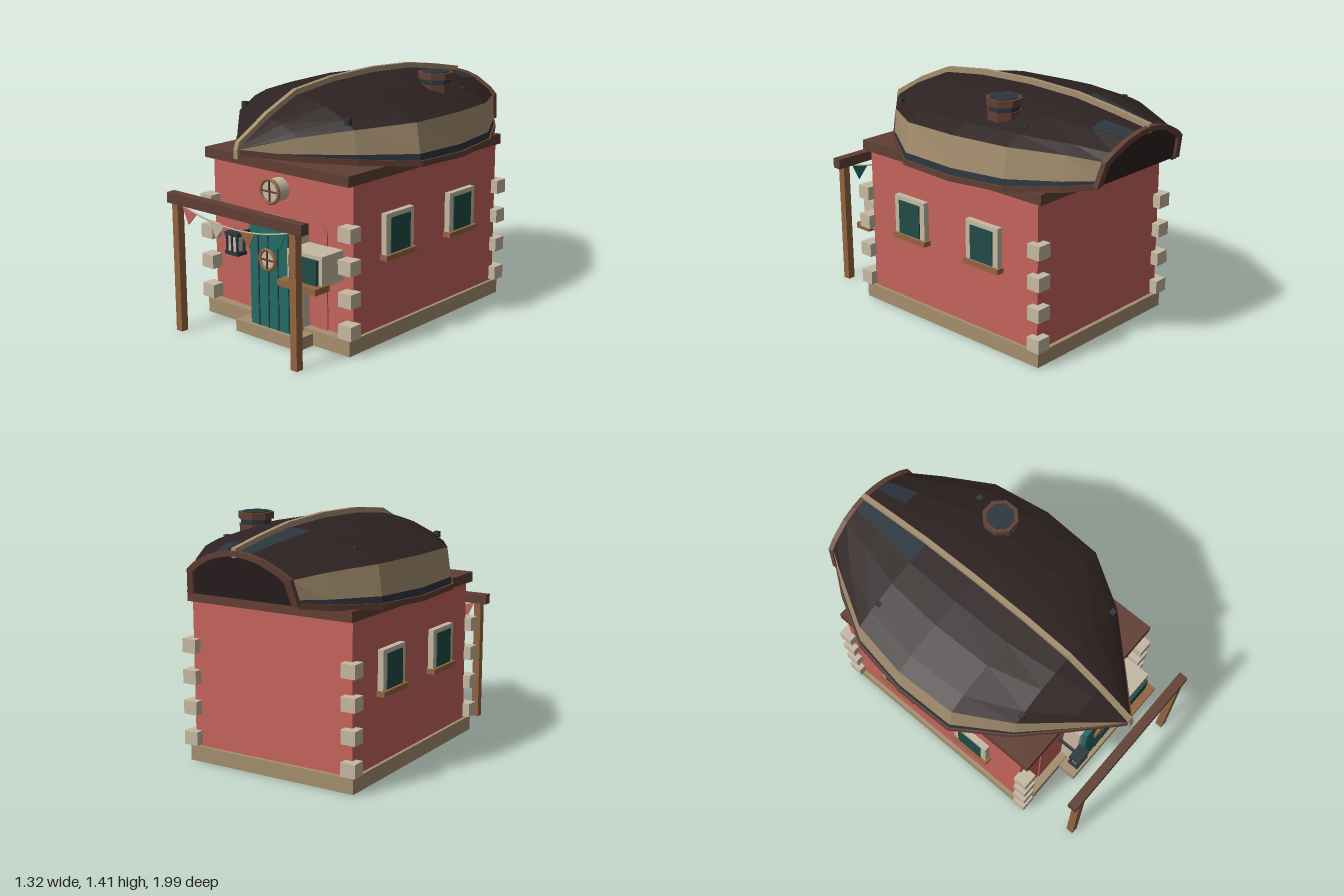
import * as THREE from 'three';

const mat = (name, color, side = THREE.FrontSide) => {
  const m = new THREE.MeshStandardMaterial({ color, side });
  m.name = name;
  return m;
};

export function createModel() {
  const wall = mat('plaster red', 0xc4645c), darkWood = mat('dark wood', 0x613f34);
  const brown = mat('brown wood', 0x926440), tan = mat('tan', 0xa48e6e);
  const cream = mat('cream stone', 0xc5b9a2), teal = mat('teal paint', 0x226b67);
  const glass = mat('window glass', 0x214b46), tar = mat('tarred plank', 0x2d2221);
  const slate = mat('slate', 0x2c353d);

  const model = new THREE.Group();
  const add = (name, geo, material, parent = model) => {
    const m = new THREE.Mesh(geo, material);
    m.name = name;
    parent.add(m);
    return m;
  };
  // box given by its limits on each axis
  const box = (name, material, x0, x1, y0, y1, z0, z1, parent) => {
    const m = add(name, new THREE.BoxGeometry(x1 - x0, y1 - y0, z1 - z0), material, parent);
    m.position.set((x0 + x1) / 2, (y0 + y1) / 2, (z0 + z1) / 2);
    return m;
  };
  // flat-shaded skin over rows of points
  const skin = (rows) => {
    const v = [];
    for (let i = 0; i < rows.length - 1; i++) {
      for (let j = 0; j < rows[i].length - 1; j++) {
        const a = rows[i][j], b = rows[i][j + 1], c = rows[i + 1][j + 1], d = rows[i + 1][j];
        v.push(...a, ...b, ...c, ...a, ...c, ...d);
      }
    }
    const g = new THREE.BufferGeometry();
    g.setAttribute('position', new THREE.Float32BufferAttribute(v, 3));
    g.computeVertexNormals();
    return g;
  };
  // closed bar through four-cornered loops, capped at both ends
  const bar = (loops) => {
    const cap = (l) => Array(5).fill([0, 1, 2].map((k) => l.reduce((s, p) => s + p[k], 0) / l.length));
    const rows = loops.map((l) => [...l, l[0]]);
    return skin([cap(loops[0]), ...rows, cap(loops[loops.length - 1])]);
  };

  // house body
  box('walls', wall, -0.525, 0.525, 0, 0.94, -0.68, 0.62);
  box('plinth', tan, -0.545, 0.545, 0.002, 0.09, -0.705, 0.675);
  box('doorstep', tan, -0.2, 0.28, 0, 0.07, 0.6, 0.79);
  box('eavesBeam', darkWood, -0.54, 0.54, 0.935, 0.995, -0.71, 0.675);
  const arch = new THREE.Shape();
  arch.moveTo(-0.345, 0.09);
  arch.lineTo(0.345, 0.09);
  arch.lineTo(0.345, 0.64);
  arch.quadraticCurveTo(0.28, 0.77, 0, 0.77);
  arch.quadraticCurveTo(-0.28, 0.77, -0.345, 0.64);
  add('archPanel', new THREE.ExtrudeGeometry(arch, { depth: 0.008, bevelEnabled: false }), wall).position.z = 0.62;

  // corner stones
  for (const x of [-0.525, 0.525]) for (const z of [0.652, -0.687]) {
    for (const y of [0.14, 0.32, 0.5, 0.68]) {
      box('cornerStone', cream, x - 0.045, x + 0.045, y - 0.04, y + 0.04, z - 0.042, z + 0.042);
    }
  }

  // side windows
  for (const s of [-1, 1]) for (const z of [0.268, -0.302]) {
    const span = (name, m, out, y0, y1, w) =>
      box(name, m, Math.min(s * 0.5, s * out), Math.max(s * 0.5, s * out), y0, y1, z - w, z + w);
    span('sideWindowFrame', cream, 0.56, 0.5, 0.735, 0.12);
    span('sideWindowPane', glass, 0.566, 0.51, 0.71, 0.083);
    span('sideWindowSill', brown, 0.575, 0.475, 0.505, 0.132);
  }

  // front window
  box('frontWindowFrame', cream, 0.205, 0.455, 0.4, 0.57, 0.62, 0.79);
  box('frontWindowPane', glass, 0.235, 0.43, 0.405, 0.547, 0.78, 0.81);
  box('frontWindowSill', brown, 0.19, 0.465, 0.375, 0.41, 0.745, 0.855);

  // door
  box('doorFrame', cream, -0.13, 0.215, 0.07, 0.675, 0.62, 0.735);
  box('door', teal, -0.1, 0.185, 0.07, 0.66, 0.73, 0.765);
  for (const x of [-0.035, 0.04, 0.112]) box('doorGroove', slate, x - 0.004, x + 0.004, 0.07, 0.61, 0.76, 0.768);

  // round windows with cross bars
  const porthole = (name, x, y, z, r, depth) => {
    const g = new THREE.Group();
    g.name = name;
    g.position.set(x, y, z);
    model.add(g);
    const disc = add('pane', new THREE.CylinderGeometry(r - 0.01, r - 0.01, depth, 16), cream, g);
    disc.rotation.x = Math.PI / 2;
    disc.position.z = -depth / 2;
    add('ring', new THREE.TorusGeometry(r - 0.009, 0.01, 6, 16), brown, g);
    box('crossBar', darkWood, -r + 0.01, r - 0.01, -0.004, 0.004, -0.005, 0.008, g);
    box('crossBar', darkWood, -0.004, 0.004, -r + 0.01, r - 0.01, -0.005, 0.008, g);
  };
  porthole('doorWindow', 0.04, 0.465, 0.772, 0.066, 0.02);
  porthole('gableWindow', 0, 0.83, 0.705, 0.076, 0.085);

  // wall lantern
  box('lanternBracket', slate, -0.2, -0.185, 0.555, 0.575, 0.62, 0.77);
  box('lanternGlass', cream, -0.225, -0.16, 0.47, 0.57, 0.765, 0.81);
  for (const y of [0.455, 0.565]) box('lanternCap', slate, -0.242, -0.143, y, y + 0.02, 0.75, 0.82);
  for (const x of [-0.232, -0.193, -0.153]) for (const z of [0.76, 0.812]) {
    box('lanternBar', slate, x - 0.006, x + 0.006, 0.46, 0.58, z - 0.005, z + 0.005);
  }

  // gateway with bunting
  for (const s of [-1, 1]) box('gatePost', brown, s * 0.4425 - 0.0225, s * 0.4425 + 0.0225, 0, 0.745, 0.955, 1.0);
  box('gateLintel', darkWood, -0.505, 0.505, 0.74, 0.8, 0.945, 1.0);
  const sag = (x) => 0.675 + 0.36 * x * x;
  const rope = new THREE.CatmullRomCurve3(
    [-0.42, -0.28, -0.14, 0, 0.14, 0.28, 0.42].map((x) => new THREE.Vector3(x, sag(x), 0.975)));
  add('buntingRope', new THREE.TubeGeometry(rope, 16, 0.005, 5), cream);
  [[-0.35, wall], [-0.135, cream], [0.095, brown], [0.32, teal]].forEach(([x, m]) => {
    const f = new THREE.Shape([
      new THREE.Vector2(x - 0.058, sag(x - 0.058)), new THREE.Vector2(x + Math.sign(x) * 0.01, sag(x) - 0.085),
      new THREE.Vector2(x + 0.058, sag(x + 0.058))]);
    add('flag', new THREE.ExtrudeGeometry(f, { depth: 0.006, bevelEnabled: false }), m).position.z = 0.972;
  });

  // upturned boat roof: z, gunwale half-width and height, chine half-width and height, crown height
  const stations = [
    [0.94, 0.012, 1.085, 0.01, 1.105, 1.115], [0.72, 0.235, 1.045, 0.22, 1.16, 1.24],
    [0.5, 0.45, 1.02, 0.43, 1.195, 1.335], [0.2, 0.645, 0.99, 0.61, 1.215, 1.37],
    [-0.16, 0.65, 0.982, 0.625, 1.22, 1.38], [-0.5, 0.6, 0.99, 0.57, 1.215, 1.365],
    [-0.77, 0.45, 1.012, 0.42, 1.195, 1.325], [-0.915, 0.34, 1.035, 0.315, 1.17, 1.29]];
  const rake = (y) => -0.915 - 0.25 * (y - 1.035);
  const section = ([z, gw, gy, cw, cy, top], i) => {
    const half = [[gw, gy], [gw + (cw - gw) * 0.25, gy + (cy - gy) * 0.25], [cw, cy]];
    for (const [u, v] of [[0.84, 0.32], [0.52, 0.74], [0.26, 0.92]]) half.push([cw * u, cy + (top - cy) * v]);
    const flat = [...half.map(([x, y]) => [-x, y]), [0, top], ...half.reverse()];
    return flat.map(([x, y]) => [x, y, i === 7 ? rake(y) : z]);
  };
  const rows = stations.map(section);
  const strip = (a, b) => skin(rows.map((r) => r.slice(a, b)));
  add('hullBottom', strip(2, 11), tar);
  for (const [a, b] of [[1, 3], [10, 12]]) add('hullSide', strip(a, b), tan);
  for (const [a, b] of [[0, 2], [11, 13]]) add('hullLowerStrake', strip(a, b), slate);
  add('hullInside', skin(rows.map((r) => r.map(([x, y, z]) => [x * 0.97, y - 0.012, z]).reverse())), slate);

  // repair planks lying on the hull
  const patch = (r0, r1, c0) => skin(rows.slice(r0, r1).map((r) =>
    r.slice(c0, c0 + 2).map(([x, y, z]) => [x, y + 0.004, z])));
  add('patchPlank', patch(5, 8, 5), slate);
  add('patchPlank', patch(6, 8, 7), slate);
  for (const s of [-1, 1]) {
    box('hullCleat', slate, s * 0.42 - 0.015, s * 0.42 + 0.015, 1.26, 1.29, -0.505, -0.475);
    box('hullCleat', slate, s * 0.385 - 0.015, s * 0.385 + 0.015, 1.215, 1.25, 0.485, 0.515);
  }

  // stern board and its rim
  const stern = rows[7];
  add('sternBoard', skin([stern, stern.map(([x]) => [x, 1.035, rake(1.035)])]), tar);
  const ringPoint = ([x, y], k, dz) => [x * k, 1.05 + (y - 1.05) * k, rake(y) + dz];
  add('sternRim', bar(stern.map((p) => [
    ringPoint(p, 1.05, -0.016), ringPoint(p, 1.05, 0.014), ringPoint(p, 0.93, 0.014), ringPoint(p, 0.93, -0.016)])), darkWood);

  // gunwale rails
  for (const s of [-1, 1]) {
    add('gunwaleRail', bar(stations.map(([z, w, y]) => {
      const a = Math.max(w - 0.03, 0), b = w + 0.01;
      const l = [[s * a, y + 0.02, z], [s * b, y + 0.02, z], [s * b, y - 0.012, z], [s * a, y - 0.012, z]];
      return s > 0 ? l : l.reverse();
    })), darkWood);
  }

  // keel
  const keel = [[0.955, 1.075], ...stations.slice(0, 7).map((s) => [s[0], s[5]]), [-0.99, 1.285]];
  add('keel', bar(keel.map(([z, y]) => [
    [-0.014, y + 0.03, z], [0.014, y + 0.03, z], [0.014, y - 0.02, z], [-0.014, y - 0.02, z]])), tan);

  // roof hatch
  const hatch = (name, r, y0, y1, m) => {
    const h = add(name, new THREE.CylinderGeometry(r, r, y1 - y0, 8).toNonIndexed(), m);
    h.geometry.computeVertexNormals();
    h.position.set(0.365, (y0 + y1) / 2, -0.29);
    h.rotation.y = Math.PI / 8;
  };
  hatch('hatchBase', 0.09, 1.28, 1.37, slate);
  hatch('hatchFoot', 0.097, 1.28, 1.335, darkWood);
  hatch('hatchRing', 0.104, 1.365, 1.403, darkWood);
  hatch('hatchPane', 0.08, 1.39, 1.408, slate);

  return model;
}
